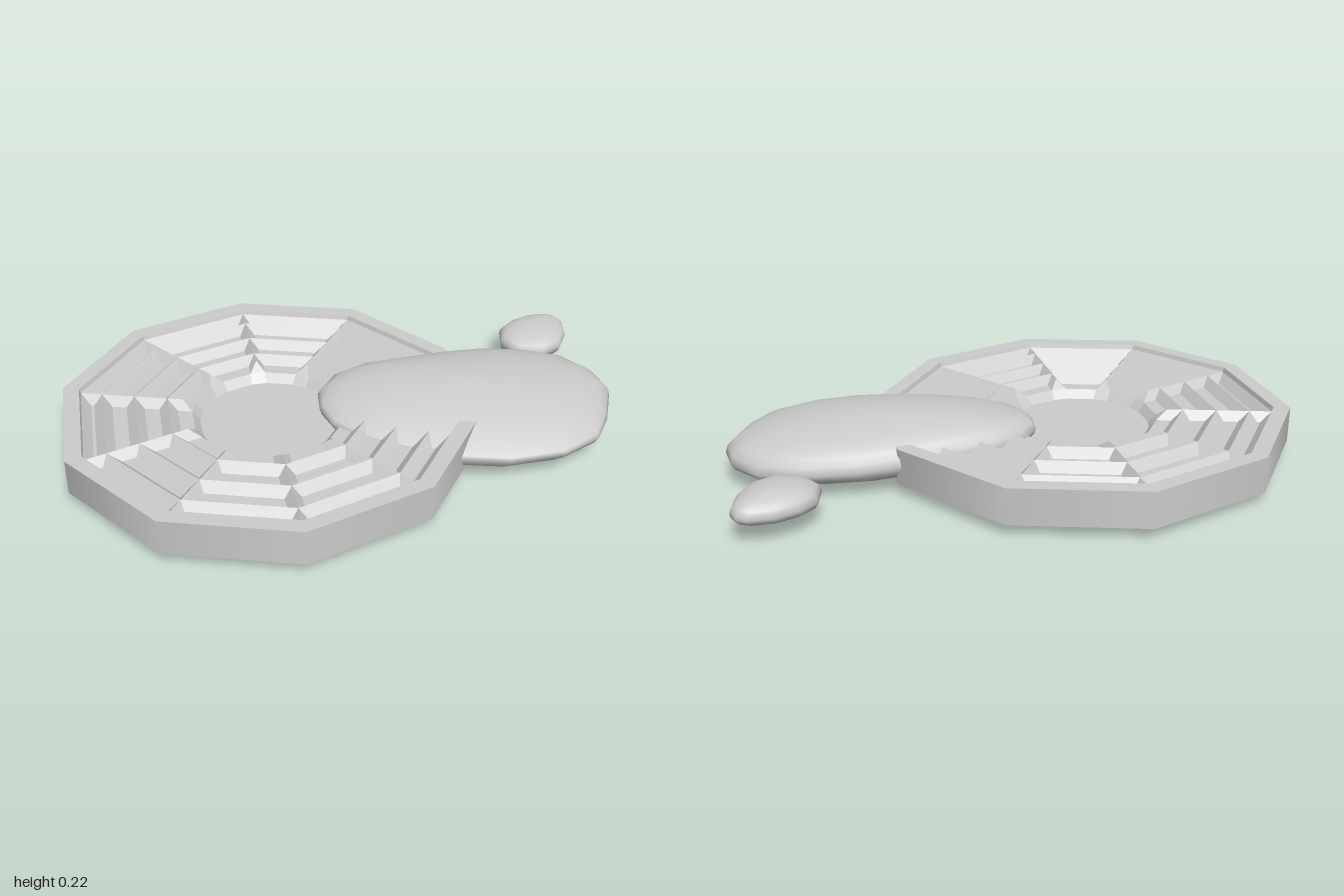
import * as THREE from 'three';

const SIDES = 10, CX = -0.24, CZ = 0.066;
const BASE = 0.038, RIM = 0.168, RIDGE = 0.151, FLOOR = 0.119, HUB = 0.088; // heights
const INSET = 0.034, SPOKE = 0.03;
const RINGS = [0.315, 0.373, 0.495, 0.615, 0.695];

// point on the edge of a decagon of radius r, moved d along the edge from corner i towards corner j
function corner(i, j, r, d, y) {
  const a = (i * 2 * Math.PI) / SIDES, b = (j * 2 * Math.PI) / SIDES;
  const p = new THREE.Vector3(Math.cos(a) * r, y, Math.sin(a) * r);
  const q = new THREE.Vector3(Math.cos(b) * r, y, Math.sin(b) * r);
  return p.addScaledVector(q.sub(p).normalize(), d);
}

// embossed sheet of the disc: rim, ridged cells, spokes and sunken hub
function embossedSheet() {
  const out = [];
  const tri = (...points) => points.forEach((p) => out.push(p.x, p.y, p.z));
  const quad = (a, b, c, d) => { tri(a, b, c); tri(a, c, d); };
  const centre = new THREE.Vector3(0, HUB, 0);
  for (let i = 0; i < SIDES; i++) {
    const j = i + 1;
    const pair = (r, d, y) => [corner(i, j, r, d, y), corner(j, i, r, d, y)];
    const band = ([a0, a1], [b0, b1]) => quad(a0, a1, b1, b0); // inner edge to outer edge
    // flat rim and its inner wall
    band(pair(0.7, 0, RIM), pair(0.76, 0, RIM));
    band(pair(0.695, 0, RIDGE), pair(0.7, 0, RIM));
    // cells, each a sunken pan between two ridges and two spokes
    const ledge = pair(0.285, SPOKE, FLOOR);
    for (let k = 0; k < RINGS.length - 1; k++) {
      const inner = pair(RINGS[k], 0, RIDGE), outer = pair(RINGS[k + 1], 0, RIDGE);
      const fi = k ? pair(RINGS[k] + INSET, SPOKE, FLOOR) : ledge;
      const fo = pair(RINGS[k + 1] - INSET, SPOKE, FLOOR);
      band(fi, fo);
      band(fo, outer);
      if (k) band(inner, fi);
      quad(inner[0], fi[0], fo[0], outer[0]);
      quad(inner[1], outer[1], fo[1], fi[1]);
    }
    // hub, the step down to it and the sloped inner end of the spoke
    const hub = pair(0.258, SPOKE, HUB);
    const hubBefore = corner(i, i - 1, 0.258, SPOKE, HUB);
    const ledgeBefore = corner(i, i - 1, 0.285, SPOKE, FLOOR);
    tri(centre, hub[1], hub[0]);
    tri(centre, hub[0], hubBefore);
    band(hub, ledge);
    quad(hubBefore, hub[0], ledge[0], ledgeBefore);
    tri(ledgeBefore, ledge[0], corner(i, j, RINGS[0], 0, RIDGE));
  }
  const g = new THREE.BufferGeometry();
  g.setAttribute('position', new THREE.Float32BufferAttribute(out, 3));
  g.computeVertexNormals();
  return g;
}

// rounded lump: an outline in x,z closed by a dome above and a bowl below, each with its own
// centre; slope thins the front of the dome, tilt lowers the +x end
function lump(outline, top, bottom, yMid, up, down, slope, tilt) {
  const n = outline.length, rows = 16, pos = [], index = [];
  for (let r = 0; r <= rows; r++) {
    const a = (r / rows) * Math.PI, s = Math.sin(a), c = Math.cos(a);
    const [cx, cz] = c > 0 ? top : bottom;
    for (const [x, z] of outline) {
      const front = Math.max(0, (z - cz) / Math.hypot(x - cx, z - cz));
      const h = c > 0 ? up * Math.pow(c, 0.85 + slope * front) : down * c;
      const px = cx + (x - cx) * s;
      pos.push(px, yMid + h + tilt * (px - top[0]), cz + (z - cz) * s);
    }
  }
  for (let r = 0; r < rows; r++) for (let i = 0; i < n; i++) {
    const j = (i + 1) % n, a = r * n + i, b = r * n + j;
    if (r < rows - 1) index.push(a, a + n, b + n);
    if (r > 0) index.push(a, b + n, b);
  }
  const g = new THREE.BufferGeometry();
  g.setAttribute('position', new THREE.Float32BufferAttribute(pos, 3));
  g.setIndex(index);
  g.computeVertexNormals();
  // poles are split points, so give them straight normals
  const nor = g.attributes.normal;
  for (let i = 0; i < n; i++) {
    nor.setXYZ(i, 0, 1, 0);
    nor.setXYZ(rows * n + i, 0, -1, 0);
  }
  return g;
}

export function createModel() {
  const model = new THREE.Group();
  const smooth = new THREE.MeshStandardMaterial({ color: 0xcccccc, side: THREE.DoubleSide });
  const flat = new THREE.MeshStandardMaterial({ color: 0xcccccc, side: THREE.DoubleSide, flatShading: true });
  const add = (name, geometry, material, parent = model) => {
    const mesh = new THREE.Mesh(geometry, material);
    mesh.name = name;
    parent.add(mesh);
    return mesh;
  };

  // ten-sided disc, a thin embossed sheet inside an open wall
  const disc = new THREE.Group();
  disc.name = 'ridgedDisc';
  disc.position.set(CX, 0, CZ);
  model.add(disc);
  add('discSheet', embossedSheet(), flat, disc);
  const wall = new THREE.CylinderGeometry(0.76, 0.76, RIM - BASE, SIDES, 1, true, Math.PI / 2);
  add('discWall', wall, smooth, disc).position.y = (RIM + BASE) / 2;

  // large lump over the edge of the disc, outlines run front to right to back
  add('largeLump', lump([
    [-0.08, -0.07], [-0.06, 0.03], [0, 0.12], [0.1, 0.18], [0.27, 0.235], [0.45, 0.255], [0.63, 0.24],
    [0.82, 0.165], [0.94, 0.05], [0.98, -0.08], [1, -0.25], [0.95, -0.36], [0.84, -0.445],
    [0.68, -0.465], [0.5, -0.44], [0.34, -0.385], [0.2, -0.32], [0.05, -0.25], [-0.04, -0.17],
  ], [0.54, -0.14], [0.28, -0.01], 0.1, 0.114, 0.108, 1.05, -0.035), smooth);

  // small lump lying beside it
  add('smallLump', lump([
    [0.59, -0.65], [0.595, -0.56], [0.66, -0.5], [0.76, -0.505], [0.83, -0.57], [0.853, -0.66],
    [0.845, -0.75], [0.815, -0.785], [0.78, -0.79], [0.7, -0.765], [0.63, -0.71],
  ], [0.72, -0.66], [0.71, -0.57], 0.098, 0.06, 0.058, 0, 0), smooth);
  return model;
}
